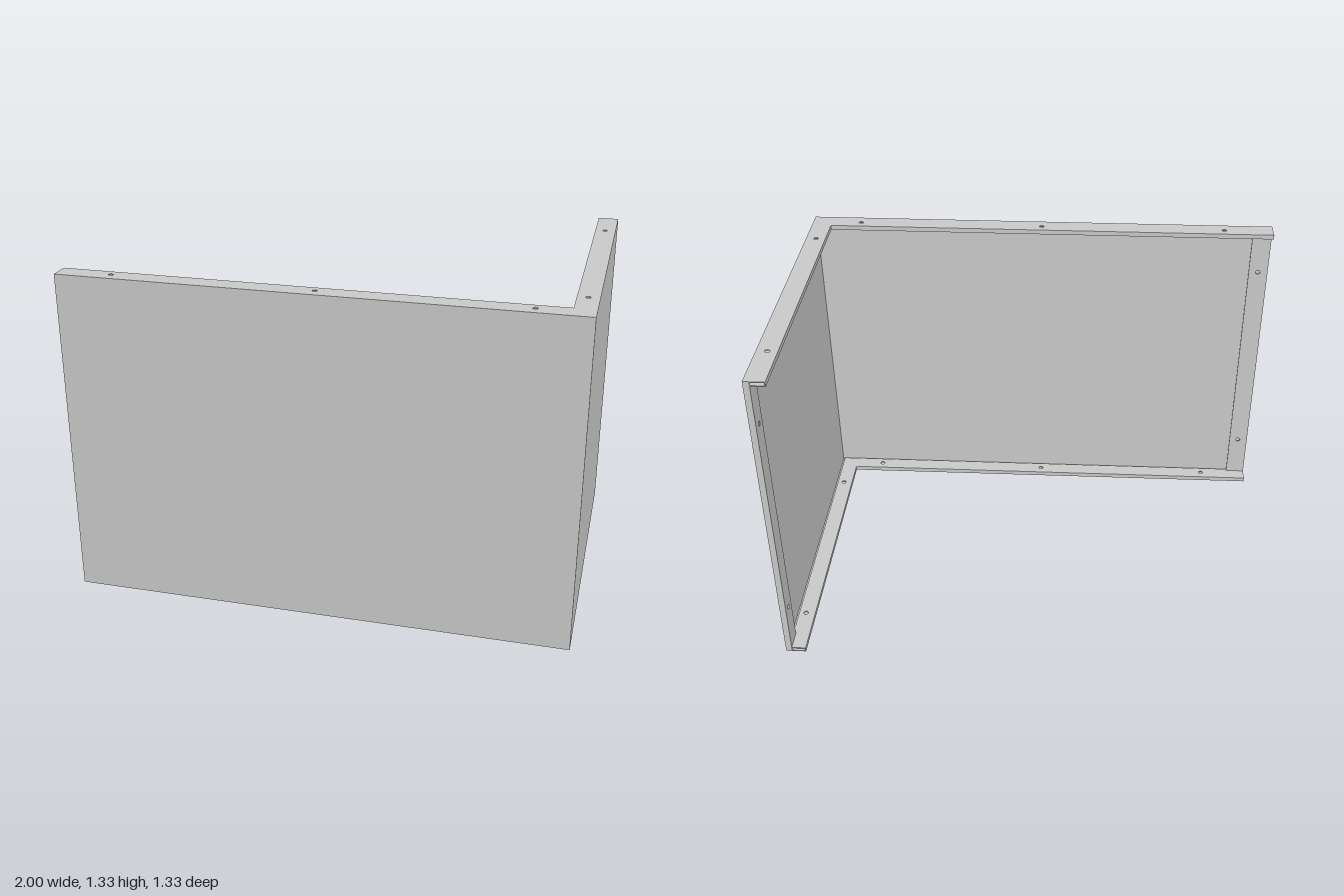
import * as THREE from 'three';

const H = 1.333, X = 1, Z = 0.667; // height and half sizes
const T = 0.004;                   // sheet thickness
const W = 0.083;                   // flange width
const D = 0.025;                   // depth of the folded returns
const GAP = 0.014;                 // slot between a return and its panel
const R = 0.01;                    // screw hole radius

export function createModel() {
  const model = new THREE.Group();
  const material = new THREE.MeshStandardMaterial({ color: 0xcccccc });

  const add = (parent, name, geometry, x = 0, y = 0, z = 0) => {
    const mesh = new THREE.Mesh(geometry, material);
    mesh.name = name;
    mesh.position.set(x, y, z);
    parent.add(mesh);
    return mesh;
  };

  const polygon = (points, holes = []) => {
    const shape = new THREE.Shape(points.map(([x, y]) => new THREE.Vector2(x, y)));
    for (const [x, y] of holes) {
      shape.holes.push(new THREE.Path().absarc(x, y, R, 0, Math.PI * 2, true));
    }
    return shape;
  };

  const extrude = (shape, depth) =>
    new THREE.ExtrudeGeometry(shape, { depth, bevelEnabled: false, curveSegments: 8 });

  // L-shaped band lying flat, between two insets from the outer faces
  const band = (outer, inner, height, holes) => extrude(polygon([
    [-X, -Z + outer], [X - outer, -Z + outer], [X - outer, Z],
    [X - inner, Z], [X - inner, -Z + inner], [-X, -Z + inner],
  ], holes), height).rotateX(-Math.PI / 2);

  // Outer panels
  add(model, 'frontPanel', new THREE.BoxGeometry(2 * X, H, T), 0, H / 2, Z - T / 2);
  add(model, 'sidePanel', new THREE.BoxGeometry(T, H, 2 * Z - T), X - T / 2, H / 2, -T / 2);

  // Top and bottom flanges, each folded back on itself
  const railHoles = [[-0.79, -0.62], [0, -0.62], [0.79, -0.62], [0.957, -0.455], [0.957, 0.46]];
  const lipHeight = 0.02;
  for (const top of [false, true]) {
    const rail = new THREE.Group();
    rail.name = top ? 'topFlange' : 'bottomFlange';
    const level = (y, height) => (top ? H - y - height : y);
    add(rail, 'flangeSkin', band(T, W, T, railHoles), 0, level(0, T), 0);
    add(rail, 'flangeLip', band(W - T, W, lipHeight - T), 0, level(T, lipHeight - T), 0);
    add(rail, 'flangeReturn', band(GAP, W - T, T, railHoles), 0, level(lipHeight - T, T), 0);
    model.add(rail);
  }

  // Upright returns at the two free ends; outward is the local z side of the panel
  const endReturn = (name, outward) => {
    const group = new THREE.Group();
    group.name = name;
    const low = lipHeight, high = H - lipHeight;
    const strip = polygon([[0, low], [W, low], [W, high], [0, high]], [[0.043, 0.21], [0.043, H - 0.21]]);
    add(group, 'returnStrip', extrude(strip, T), 0, 0, outward > 0 ? 0 : -T);
    add(group, 'endWall', new THREE.BoxGeometry(T, H - 2 * T, D - T), T / 2, H / 2, outward * (D - T) / 2);
    model.add(group);
    return group;
  };
  endReturn('frontPanelEnd', 1).position.set(-X, 0, Z - D);
  const sideEnd = endReturn('sidePanelEnd', -1);
  sideEnd.position.set(X - D, 0, -Z);
  sideEnd.rotation.y = -Math.PI / 2;

  return model;
}
